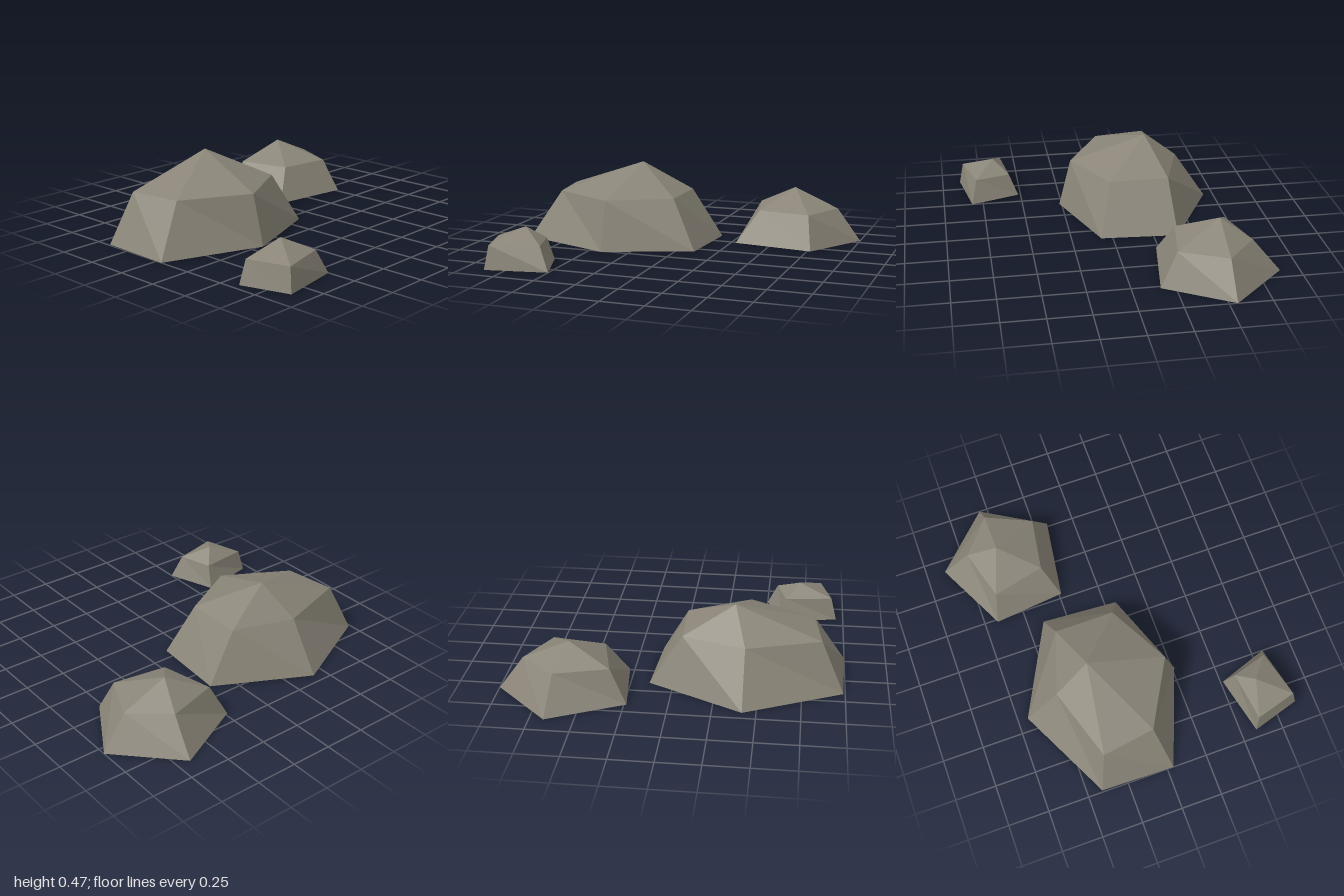
import * as THREE from 'three';

// Faceted dome, open underneath: base outline, shoulder ring and an off-centre peak
function rock(name, material, base, shoulderY, shoulder, peak) {
  const points = [
    ...base.map(([x, z]) => [x, 0, z]),
    ...shoulder.map(([x, z]) => [x, shoulderY, z]),
    peak,
  ];
  const n = base.length;
  const index = [];
  // Outlines run clockwise seen from above, starting at the back
  for (let i = 0; i < n; i++) {
    const j = (i + 1) % n;
    index.push(j, i, n + j, i, n + i, n + j); // side
    index.push(n + j, n + i, 2 * n); // cap
  }
  const geometry = new THREE.BufferGeometry();
  geometry.setAttribute('position', new THREE.Float32BufferAttribute(points.flat(), 3));
  geometry.setIndex(index);
  const flat = geometry.toNonIndexed();
  flat.computeVertexNormals();
  const mesh = new THREE.Mesh(flat, material);
  mesh.name = name;
  return mesh;
}

export function createModel() {
  const stone = new THREE.MeshStandardMaterial({
    color: 0x8a8578, flatShading: true, side: THREE.DoubleSide,
  });
  stone.name = 'stone';

  const group = new THREE.Group();
  group.name = 'rocks';
  group.add(
    rock('largeRock', stone,
      [[-0.42, -0.69], [0.14, -0.4], [0.11, 0.07], [-0.42, 0.265], [-1, 0.04], [-0.99, -0.41]],
      0.3,
      [[-0.42, -0.49], [-0.05, -0.37], [-0.05, -0.01], [-0.42, 0.19], [-0.81, -0.03], [-0.855, -0.35]],
      [-0.35, 0.475, -0.275]),
    rock('mediumRock', stone,
      [[0.67, -0.885], [1, -0.55], [0.77, -0.165], [0.28, -0.235], [0.235, -0.67]],
      0.2,
      [[0.645, -0.72], [0.855, -0.54], [0.73, -0.265], [0.41, -0.315], [0.335, -0.63]],
      [0.58, 0.32, -0.54]),
    rock('smallRock', stone,
      [[-0.605, 0.515], [-0.5, 0.82], [-0.87, 0.885], [-0.955, 0.595]],
      0.14,
      [[-0.625, 0.57], [-0.565, 0.785], [-0.85, 0.86], [-0.92, 0.61]],
      [-0.71, 0.22, 0.665]),
  );
  return group;
}
